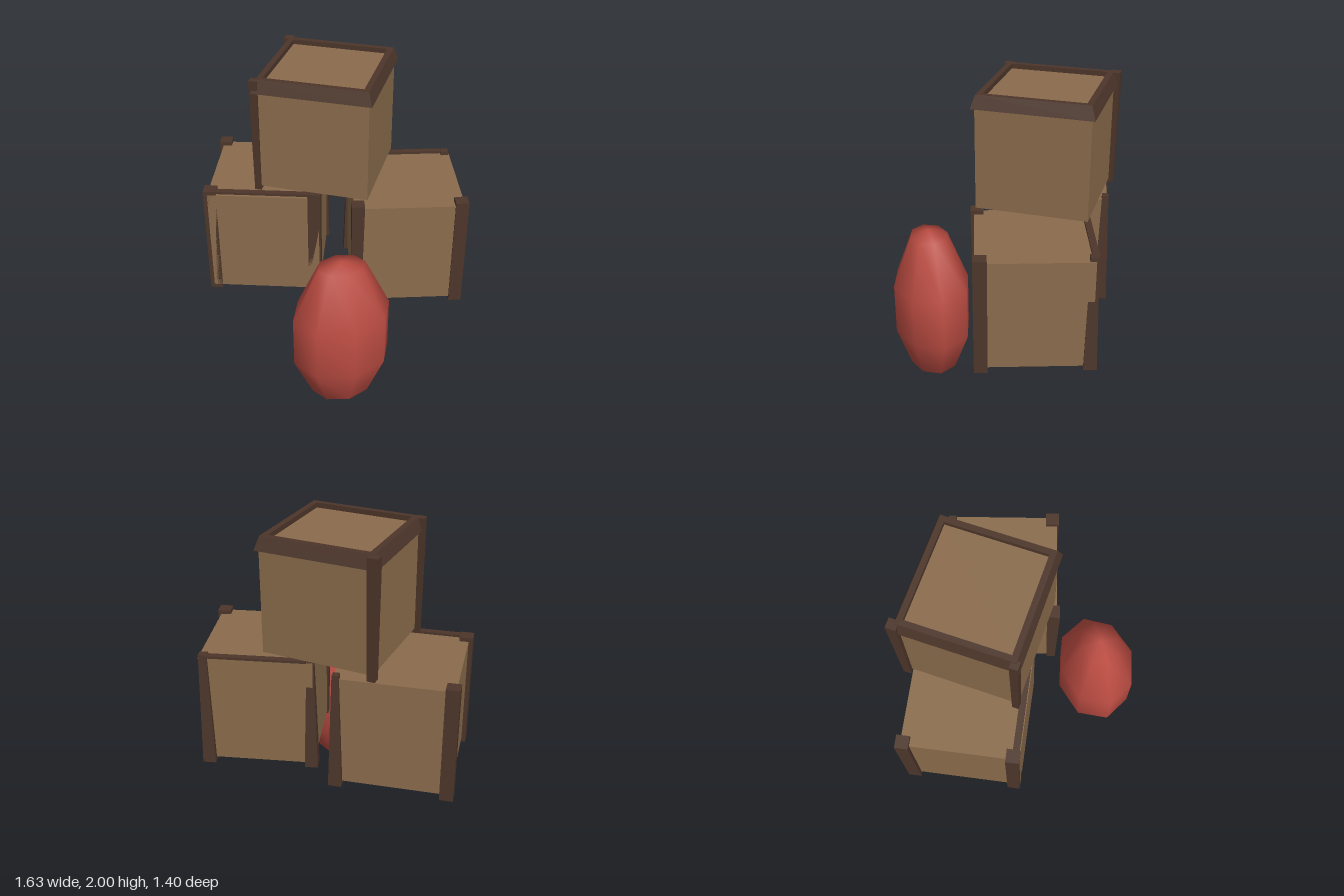
import * as THREE from 'three';
import { mergeVertices } from 'three/addons/utils/BufferGeometryUtils.js';

const wood = new THREE.MeshStandardMaterial({ color: 0x8b6c4c, flatShading: true });
const trim = new THREE.MeshStandardMaterial({ color: 0x4d362a, flatShading: true });
const red = new THREE.MeshStandardMaterial({ color: 0xbb4c42 });

function add(parent, name, geometry, material, x = 0, y = 0, z = 0) {
  const mesh = new THREE.Mesh(geometry, material);
  mesh.name = name;
  mesh.position.set(x, y, z);
  parent.add(mesh);
  return mesh;
}

// Upright bar, optionally narrower at the top or bottom
function post(crate, [x, z, w = 0.08, top = 1, bottom = 1], height) {
  const g = new THREE.BoxGeometry(w, height, w);
  const p = g.attributes.position;
  for (let i = 0; i < p.count; i++) {
    const s = p.getY(i) > 0 ? top : bottom;
    p.setXYZ(i, p.getX(i) * s, p.getY(i), p.getZ(i) * s);
  }
  add(crate, 'cornerPost', g, trim, x, 0, z);
}

// Wooden crate with its corner posts, centred on its own origin
function makeCrate(name, size, position, turn, posts) {
  const crate = new THREE.Group();
  crate.name = name;
  crate.position.set(...position);
  crate.rotation.y = turn;
  add(crate, 'crateBox', new THREE.BoxGeometry(...size), wood);
  posts.forEach((p) => post(crate, p, size[1] + 0.05));
  return crate;
}

// Faceted capsule: a lathe whose rings follow an uneven octagon
function makeCapsule() {
  const profile = [[0, 0], [0.62, 0.105], [1, 0.37], [1, 0.7], [0.48, 1.035], [0, 1.07]];
  const ring = [[-0.135, 0.24], [0.095, 0.22], [0.265, 0.07], [0.285, -0.12],
    [0.135, -0.25], [-0.095, -0.23], [-0.275, -0.08], [-0.285, 0.12]];
  let g = new THREE.LatheGeometry(profile.map(([r, y]) => new THREE.Vector2(r, y)), 8);
  const p = g.attributes.position;
  for (let i = 0; i < p.count; i++) {
    const [r, y] = profile[i % profile.length];
    const [x, z] = ring[Math.floor(i / profile.length) % 8];
    p.setXYZ(i, x * r, y, z * r);
  }
  g.deleteAttribute('uv');
  g.deleteAttribute('normal');
  g = mergeVertices(g);
  g.computeVertexNormals();
  return g;
}

export function createModel() {
  const model = new THREE.Group();

  // Lower crates
  const right = makeCrate('lowerCrateRight', [0.69, 0.68, 0.7], [-0.445, 0.905, -0.3], 0, [
    [-0.33, -0.335], [-0.33, 0.31], [0.315, 0.31], [0.325, -0.34, 0.08, 0.5],
  ]);
  const left = makeCrate('lowerCrateLeft', [0.67, 0.68, 0.67], [0.42, 0.905, -0.215], 0.115, [
    [0.315, 0.305], [-0.315, 0.315, 0.08, 1, 0.7], [0.305, -0.325, 0.08, 0.6], [-0.32, -0.31, 0.08, 0.5],
  ]);
  // Thin slats on the top edges
  add(right, 'topSlat', new THREE.BoxGeometry(0.64, 0.015, 0.04), trim, 0, 0.355, 0.325);
  add(left, 'topSlat', new THREE.BoxGeometry(0.6, 0.015, 0.04), trim, 0, 0.355, -0.335);

  // Upper crate with a bevelled square rim
  const upper = makeCrate('upperCrate', [0.68, 0.67, 0.68], [-0.067, 1.635, -0.265], -0.2, [
    [-0.345, 0.33, 0.05, 1, 0.8], [-0.34, -0.345, 0.06, 1, 0.8],
  ]);
  const rim = [[0.3, 0.285], [0.36, 0.285], [0.335, 0.365], [0.3, 0.365], [0.3, 0.285]]
    .map(([half, y]) => new THREE.Vector2(half * Math.SQRT2, y));
  add(upper, 'lidRim', new THREE.LatheGeometry(rim, 4, Math.PI / 4), trim);

  model.add(right, left, upper);
  add(model, 'redCapsule', makeCapsule(), red, 0.065, 0, 0.45);
  return model;
}
